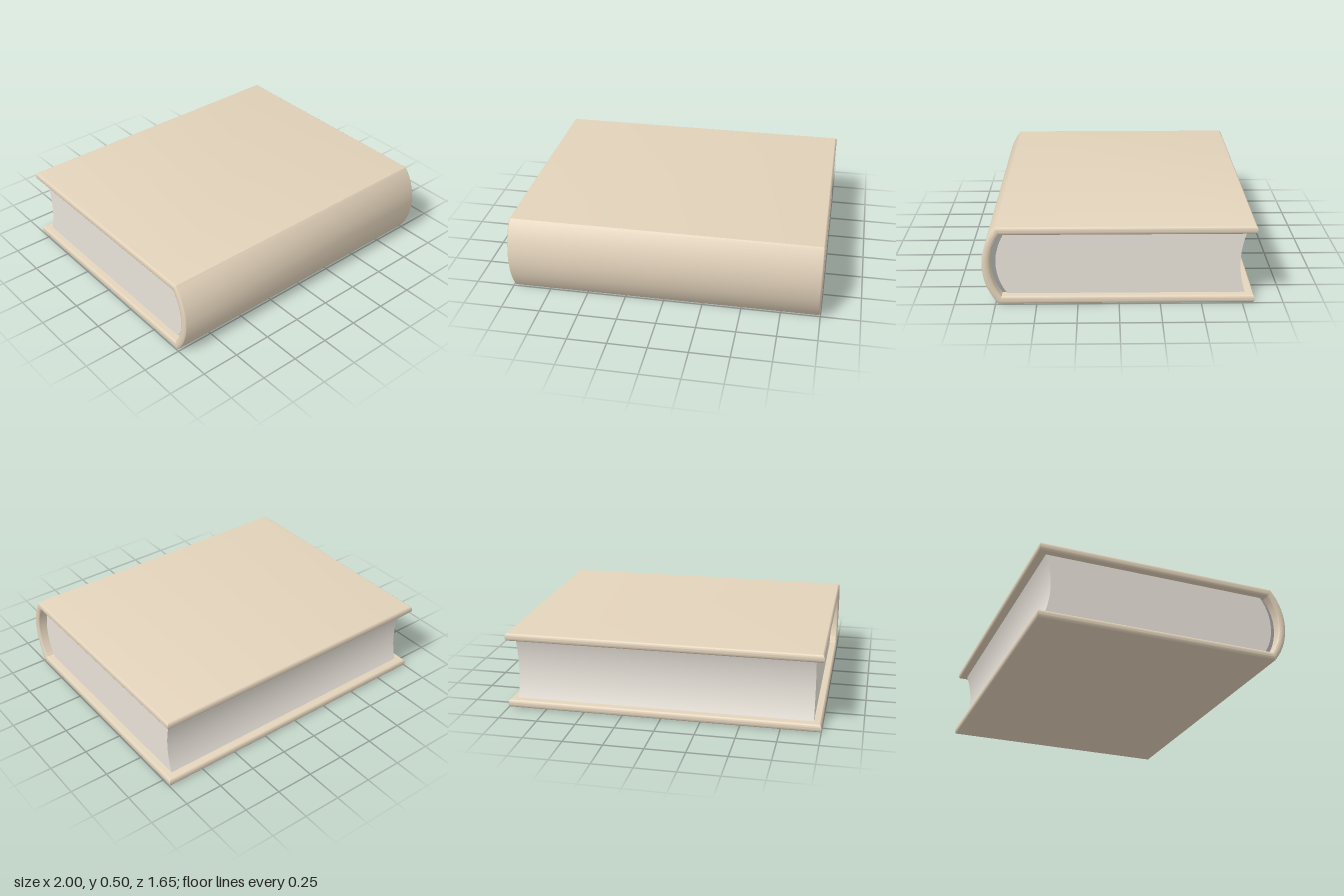
import * as THREE from 'three';
import { toCreasedNormals } from 'three/addons/utils/BufferGeometryUtils.js';

const HALF = 0.025;   // half the board thickness
const BULGE = 0.014;  // rounding of the cover's cut edges
const MID = 0.25;     // height of the centre plane

// Arc of (z, y) points about the centre plane, from its lower to its upper end
function arc(endZ, midZ, halfHeight, steps = 24) {
  const sag = midZ - endZ;
  const r = (halfHeight * halfHeight + sag * sag) / (2 * Math.abs(sag));
  const dir = Math.sign(sag), a = Math.asin(halfHeight / r), pts = [];
  for (let i = 0; i <= steps; i++) {
    const t = -a + (2 * a * i) / steps;
    pts.push(new THREE.Vector2(midZ - dir * r * (1 - Math.cos(t)), MID + r * Math.sin(t)));
  }
  return pts;
}

// One continuous cover: board, curved spine, board, with rounded cut edges
function coverGeometry() {
  const N = 16, ends = [], stations = [];
  for (let i = 0; i <= N / 2; i++) {
    const a = (i / N) * Math.PI;
    ends.push({ z: -0.825 + BULGE * (1 - Math.sin(a)), c: Math.cos(a) });
  }
  const board = (e, top) => {
    const o = new THREE.Vector2(e.z, top ? 0.5 : 0);
    const n = new THREE.Vector2(e.z, top ? 0.45 : 0.05);
    return { o, n, c: e.c };
  };
  for (const e of [...ends].reverse()) stations.push(board(e, false));
  const outer = arc(0.735, 0.825, 0.25), inner = arc(0.712, 0.775, 0.2);
  outer.forEach((o, i) => stations.push({ o, n: inner[i], c: 1 }));
  for (const e of ends) stations.push(board(e, true));

  // Each ring runs across the outside, round one end, back inside, round the other
  const rings = stations.map(({ o, n, c }) => {
    const ring = [];
    for (const side of [1, -1]) {
      for (let i = 0; i <= N; i++) {
        const t = side * c * Math.cos((i / N) * Math.PI);
        const x = side * (1 - BULGE + BULGE * Math.sqrt(Math.max(0, 1 - t * t)));
        const p = n.clone().lerp(o, (t * HALF + HALF) / (2 * HALF));
        ring.push([x, p.y, p.x]);
      }
    }
    return ring;
  });
  const pos = [], index = [], M = rings[0].length;
  rings.forEach((ring) => ring.forEach((p) => pos.push(...p)));
  for (let i = 0; i < rings.length - 1; i++) {
    for (let j = 0; j < M; j++) {
      const k = (j + 1) % M, a = i * M + j, b = i * M + k;
      index.push(a, b, b + M, a, b + M, a + M);
    }
  }
  const g = new THREE.BufferGeometry();
  g.setAttribute('position', new THREE.Float32BufferAttribute(pos, 3));
  g.setIndex(index);
  return toCreasedNormals(g, 0.5);
}

// Solid between a front arc and a back arc, centred across x
function slab(front, back, width) {
  const shape = new THREE.Shape([...front, ...back.slice().reverse()]);
  const g = new THREE.ExtrudeGeometry(shape, { depth: width, bevelEnabled: false });
  g.translate(0, 0, -width / 2);
  g.rotateY(-Math.PI / 2);
  return toCreasedNormals(g, 0.5);
}

export function createModel() {
  const book = new THREE.Group();
  book.name = 'book';
  const add = (name, geometry, color) => {
    const mesh = new THREE.Mesh(geometry, new THREE.MeshStandardMaterial({ color }));
    mesh.name = name;
    book.add(mesh);
  };
  const pageFront = arc(0.68, 0.745, 0.2);
  add('cover', coverGeometry(), 0xe2d2ba);
  // Page block: rounded at the spine, hollow at the fore edge
  add('pages', slab(pageFront, arc(-0.77, -0.735, 0.2), 1.9), 0xe8e2d9);
  // Lining that fills the gap behind the spine
  add('spineLining', slab(arc(0.712, 0.775, 0.2), pageFront, 1.87), 0xa0a0a0);
  return book;
}
